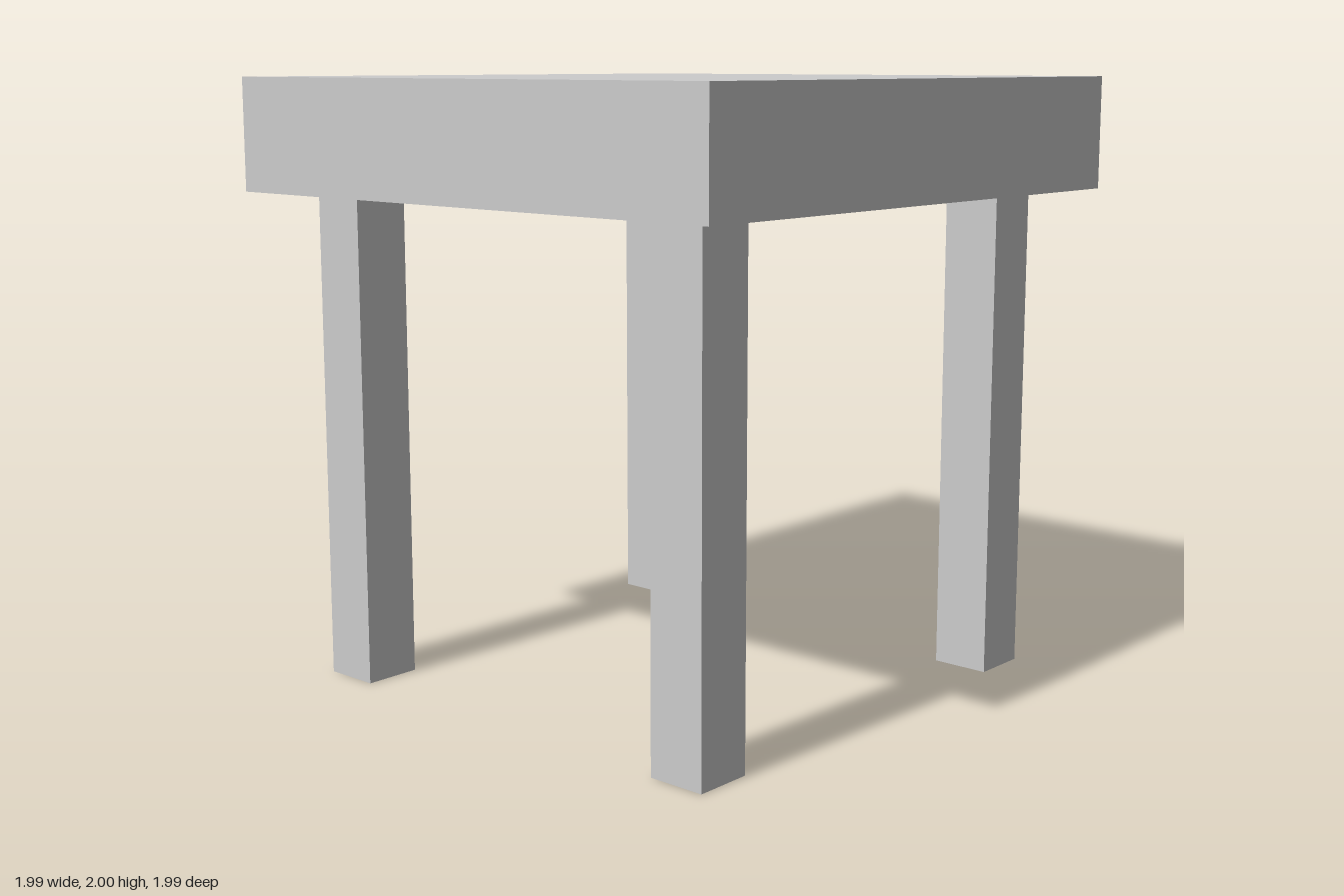
import * as THREE from 'three';

const TOP_WIDTH = 1.99, HEIGHT = 2, LEG_HEIGHT = 1.63, LEG_WIDTH = 0.194, LEG_OFFSET = 0.732;

export function createModel() {
  const model = new THREE.Group();
  model.name = 'table';
  const material = new THREE.MeshStandardMaterial({ color: 0xcccccc, flatShading: true });

  // Box standing on height y
  const addBox = (name, width, height, x, y, z) => {
    const mesh = new THREE.Mesh(new THREE.BoxGeometry(width, height, width), material);
    mesh.name = name;
    mesh.position.set(x, y + height / 2, z);
    model.add(mesh);
  };

  // Thick square top
  addBox('tableTop', TOP_WIDTH, HEIGHT - LEG_HEIGHT, 0, LEG_HEIGHT, 0);

  // Four square legs, set in from the corners
  for (const [side, sx] of [['Left', 1], ['Right', -1]]) {
    for (const [end, sz] of [['front', 1], ['back', -1]]) {
      addBox(`${end}${side}Leg`, LEG_WIDTH, LEG_HEIGHT, sx * LEG_OFFSET, 0, sz * LEG_OFFSET);
    }
  }
  return model;
}
